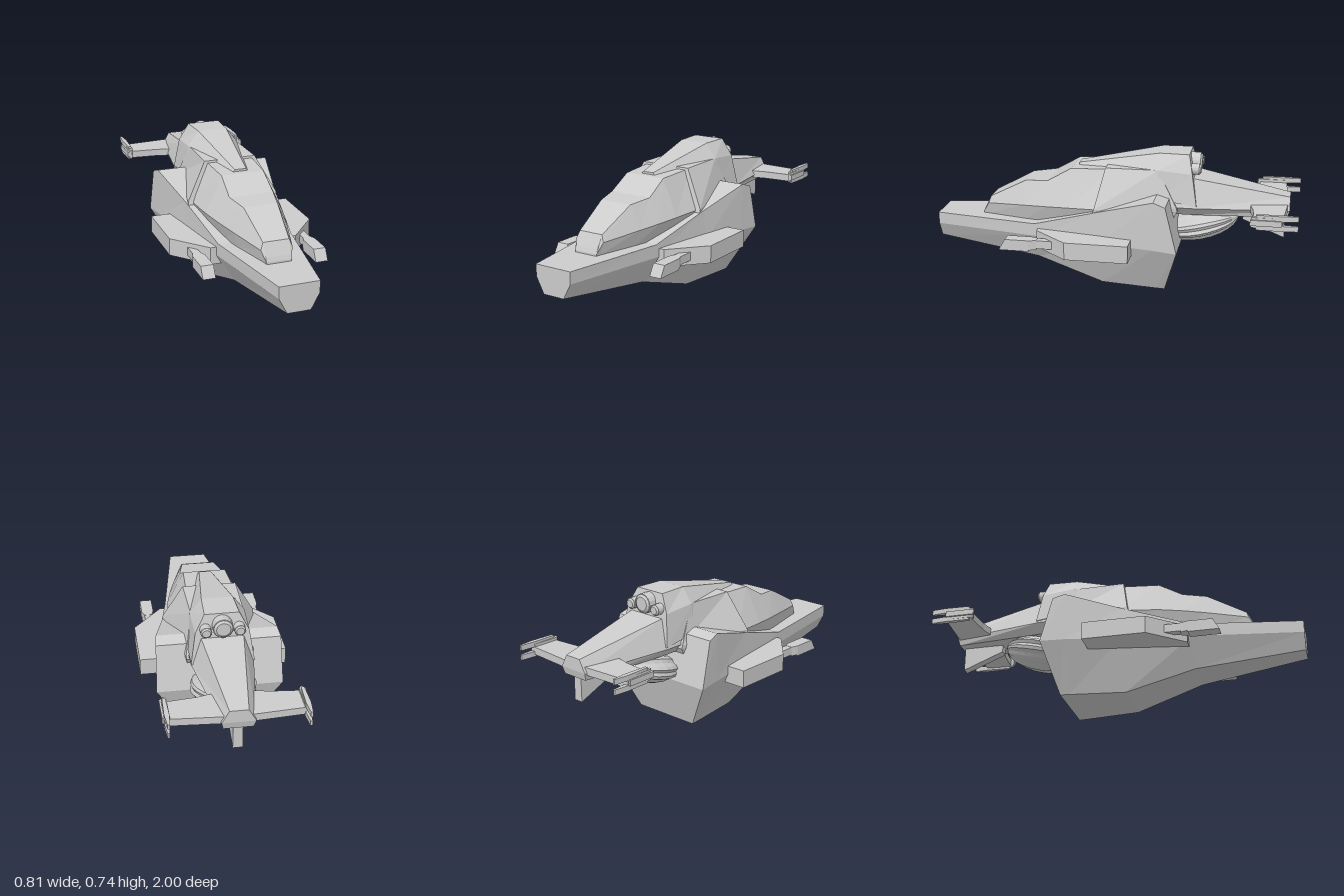
import * as THREE from 'three';

const grey = new THREE.MeshStandardMaterial({ color: 0xcccccc, flatShading: true });

function add(parent, name, geometry, x = 0, y = 0, z = 0) {
  const mesh = new THREE.Mesh(geometry, grey);
  mesh.name = name;
  mesh.position.set(x, y, z);
  parent.add(mesh);
  return mesh;
}

// Mirrored loft: each section lists its +x half from bottom to top as [x, y, z]; sections run front to back.
function loft(sections) {
  const half = sections[0].length, n = half * 2;
  const rings = sections.map(s => [...s, ...[...s].reverse().map(([x, y, z]) => [-x, y, z])]);
  const index = [];
  for (let r = 0; r < rings.length - 1; r++) {
    for (let i = 0; i < n; i++) {
      const j = (i + 1) % n, a = r * n, b = a + n;
      index.push(a + i, b + i, b + j, a + i, b + j, a + j);
    }
  }
  const back = (rings.length - 1) * n;
  for (let i = 0; i < half - 1; i++) {
    const q = [i, i + 1, n - 2 - i, n - 1 - i];
    index.push(q[0], q[1], q[2], q[0], q[2], q[3]);
    index.push(back + q[0], back + q[2], back + q[1], back + q[0], back + q[3], back + q[2]);
  }
  const g = new THREE.BufferGeometry();
  g.setAttribute('position', new THREE.Float32BufferAttribute(rings.flat(2), 3));
  g.setIndex(index);
  g.computeVertexNormals();
  return g;
}

function outline(points, depth) {
  const shape = new THREE.Shape(points.map(p => new THREE.Vector2(...p)));
  return new THREE.ExtrudeGeometry(shape, { depth, bevelEnabled: false });
}

// Plan outline of [x, z] points, between heights y0 and y1
const plan = (points, y0, y1) =>
  outline(points.map(([x, z]) => [x, -z]), y1 - y0).rotateX(-Math.PI / 2).translate(0, y0, 0);

// Side outline of [z, y] points, between x0 and x1
const profile = (points, x0, x1) =>
  outline(points.map(([z, y]) => [-z, y]), x1 - x0).rotateY(Math.PI / 2).translate(x0, 0, 0);

// Reflects a geometry to the other side, keeping its faces outward
function mirrored(geometry) {
  const g = geometry.index ? geometry.toNonIndexed() : geometry.clone();
  g.scale(-1, 1, 1);
  const p = g.attributes.position;
  for (let i = 0; i < p.count; i += 3) {
    const b = new THREE.Vector3().fromBufferAttribute(p, i + 1);
    const c = new THREE.Vector3().fromBufferAttribute(p, i + 2);
    p.setXYZ(i + 1, c.x, c.y, c.z);
    p.setXYZ(i + 2, b.x, b.y, b.z);
  }
  g.computeVertexNormals();
  return g;
}

function addPair(parent, name, geometry) {
  add(parent, 'left' + name, geometry);
  add(parent, 'right' + name, mirrored(geometry));
}

export function createModel() {
  const model = new THREE.Group();
  model.name = 'spacecraft';

  // Wedge hull with a rising rear deck
  add(model, 'hull', loft([
    [[0.062, 0.187, 1], [0.106, 0.27, 1], [0.108, 0.335, 1]],
    [[0.115, 0.114, 0.42], [0.204, 0.265, 0.42], [0.205, 0.335, 0.42]],
    [[0.152, 0, 0.05], [0.267, 0.265, 0.05], [0.262, 0.443, 0.05]],
    [[0.19, 0, -0.25], [0.32, 0.265, -0.25], [0.325, 0.532, -0.25]],
    [[0.195, 0, -0.3], [0.34, 0.26, -0.378], [0.333, 0.51, -0.315]],
  ]));

  // Stepped canopy
  add(model, 'canopy', loft([
    [[0.065, 0.335, 0.745], [0.068, 0.345, 0.745], [0.068, 0.37, 0.735]],
    [[0.07, 0.335, 0.715], [0.085, 0.4, 0.71], [0.07, 0.437, 0.7]],
    [[0.125, 0.335, 0.49], [0.15, 0.42, 0.49], [0.093, 0.547, 0.49]],
    [[0.15, 0.335, 0.36], [0.185, 0.43, 0.36], [0.122, 0.56, 0.36]],
    [[0.17, 0.335, 0.24], [0.21, 0.438, 0.24], [0.118, 0.635, 0.23]],
    [[0.19, 0.335, 0.02], [0.235, 0.445, 0.02], [0.13, 0.645, 0]],
  ]));

  // Body behind the canopy, its front edge forming a raised frame
  add(model, 'body', loft([
    [[0.2, 0.335, 0.09], [0.255, 0.437, 0.085], [0.255, 0.452, 0.08], [0.145, 0.655, 0.035]],
    [[0.16, 0.335, -0.3], [0.177, 0.44, -0.36], [0.178, 0.46, -0.355], [0.14, 0.655, -0.25]],
  ]));

  // Long dorsal cowl
  add(model, 'cowl', loft([
    [[0.055, 0.62, 0.2], [0.04, 0.638, 0.2], [0.032, 0.648, 0.2]],
    [[0.165, 0.5, -0.25], [0.145, 0.655, -0.25], [0.083, 0.735, -0.25]],
    [[0.166, 0.47, -0.46], [0.14, 0.64, -0.432], [0.09, 0.735, -0.41]],
  ]));

  // Rear nozzles
  [[-0.087, 0.03], [0, 0.053], [0.087, 0.03]].forEach(([x, r], i) => {
    const y = 0.675 - Math.abs(x) * 0.2;
    const nozzle = ['rightNozzle', 'centreNozzle', 'leftNozzle'][i];
    add(model, nozzle, new THREE.CylinderGeometry(r, r, 0.07, 16).rotateX(Math.PI / 2), x, y, -0.43);
    add(model, nozzle + 'Cap', new THREE.CylinderGeometry(r * 0.7, r, 0.012, 16).rotateX(-Math.PI / 2), x, y, -0.468);
  });

  // Tail boom and ventral fin
  add(model, 'tailBoom', loft([
    [[0.12, 0.41, -0.25], [0.165, 0.46, -0.25], [0.11, 0.645, -0.25]],
    [[0.12, 0.41, -0.44], [0.165, 0.46, -0.44], [0.11, 0.61, -0.44]],
    [[0.075, 0.41, -0.94], [0.085, 0.45, -0.95], [0.047, 0.517, -0.95]],
  ]));
  add(model, 'ventralFin', profile(
    [[-0.7, 0.42], [-0.7, 0.37], [-0.925, 0.278], [-0.925, 0.42]], -0.025, 0.025));

  // Ribbed belly engine: radius steps in sawtooth plates around the long axis
  const engine = new THREE.SphereGeometry(1, 30, 12);
  const p = engine.attributes.position;
  for (let i = 0; i < p.count; i++) {
    const step = Math.round((Math.atan2(p.getZ(i), p.getX(i)) / (2 * Math.PI) + 1) * 30) % 3;
    const s = [0.91, 1, 0.98][step];
    p.setX(i, p.getX(i) * s);
    p.setZ(i, p.getZ(i) * s);
  }
  engine.rotateX(Math.PI / 2).scale(0.178, 0.085, 0.21);
  add(model, 'bellyEngine', engine, 0, 0.335, -0.47).rotation.x = 0.24;

  // Side sponsons
  addPair(model, 'Sponson', plan(
    [[0.13, 0.4], [0.24, 0.4], [0.405, 0.21], [0.405, -0.13], [0.13, -0.13]], 0.215, 0.31));

  // Guns with wedge-cut muzzles
  addPair(model, 'GunBarrel', new THREE.BoxGeometry(0.042, 0.045, 0.2).translate(0.311, 0.262, 0.3));
  addPair(model, 'GunNeck', plan(
    [[0.29, 0.38], [0.332, 0.38], [0.345, 0.42], [0.277, 0.42]], 0.232, 0.286));
  addPair(model, 'GunHead', profile(
    [[0.42, 0.286], [0.42, 0.225], [0.585, 0.225], [0.55, 0.286]], 0.277, 0.345));

  // Tail wings with pronged tip pods
  addPair(model, 'TailWing', plan(
    [[0.05, -0.94], [0.335, -0.92], [0.335, -0.775], [0.18, -0.76], [0.12, -0.745], [0.05, -0.745]], 0.44, 0.48));
  addPair(model, 'TipPod', plan(
    [[0.328, -0.92], [0.328, -0.78], [0.337, -0.76], [0.35, -0.76], [0.355, -0.78], [0.355, -0.92]], 0.44, 0.495));
  addPair(model, 'TipPlate', new THREE.BoxGeometry(0.015, 0.03, 0.16).translate(0.357, 0.468, -0.835));
  for (const [name, y] of [['Upper', 0.494], ['Lower', 0.442]]) {
    addPair(model, name + 'Prong', plan(
      [[0.33, -0.92], [0.335, -0.785], [0.352, -0.785], [0.356, -0.92], [0.348, -1], [0.337, -1]], y - 0.014, y + 0.014));
  }
  return model;
}
